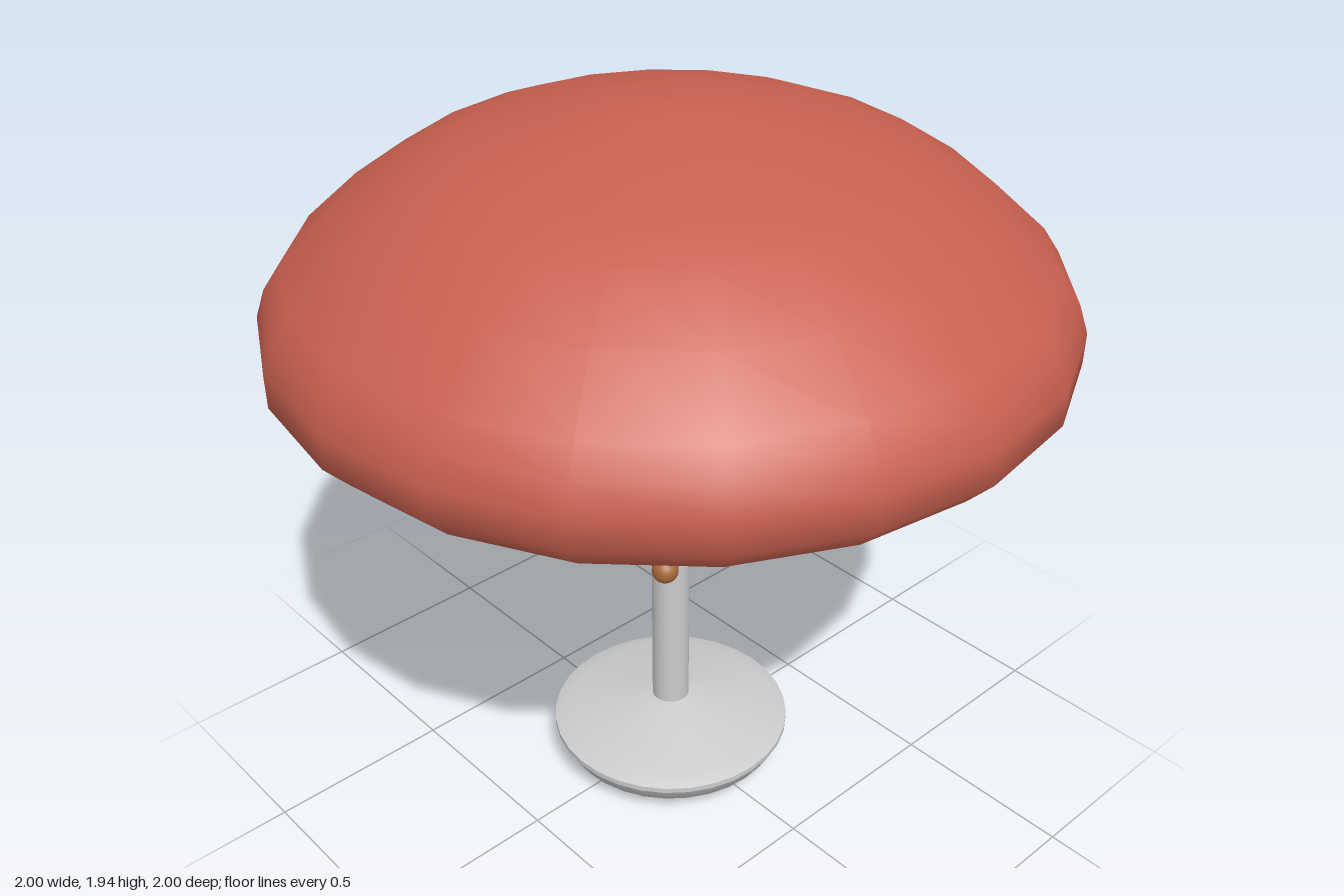
import * as THREE from 'three';

const SIDES = 20;
const metal = new THREE.MeshStandardMaterial({ color: 0xcccccc });
const red = new THREE.MeshStandardMaterial({ color: 0xc8604f });
const wood = new THREE.MeshStandardMaterial({ color: 0xa8683a });

function addMesh(parent, name, geometry, material, x = 0, y = 0, z = 0) {
  const mesh = new THREE.Mesh(geometry, material);
  mesh.name = name;
  mesh.position.set(x, y, z);
  parent.add(mesh);
  return mesh;
}

// Turned surface from [radius, height] pairs; rising profiles face outward
function turned(profile, sides = SIDES) {
  return new THREE.LatheGeometry(profile.map(([r, y]) => new THREE.Vector2(r, y)), sides);
}

export function createModel() {
  const lamp = new THREE.Group();
  lamp.name = 'tableLamp';

  // Base: rounded dish, narrow rim and sloping top, split to keep edges crisp
  const base = new THREE.Group();
  base.name = 'base';
  lamp.add(base);
  addMesh(base, 'baseBottom', turned([[0, 0], [0.22, 0]], 32), metal);
  addMesh(base, 'baseDish', turned([[0.22, 0], [0.27, 0.02], [0.31, 0.055], [0.335, 0.1]], 32), metal);
  addMesh(base, 'baseRim', turned([[0.335, 0.1], [0.335, 0.115]], 32), metal);
  addMesh(base, 'baseTop', turned([[0.335, 0.115], [0.29, 0.132], [0.05, 0.182], [0, 0.185]], 32), metal);

  // Stem runs up to the inside of the shade
  addMesh(lamp, 'stem', new THREE.CylinderGeometry(0.052, 0.052, 1.66, SIDES), metal, 0, 1.0, 0);

  // Shade: outer dome, flat rim and inner lining
  const shade = new THREE.Group();
  shade.name = 'shade';
  lamp.add(shade);
  addMesh(shade, 'shadeOuter', turned([
    [0.935, 1.29], [1, 1.36], [1, 1.44], [0.975, 1.51], [0.93, 1.575], [0.79, 1.7],
    [0.63, 1.8], [0.5, 1.85], [0.33, 1.895], [0.14, 1.935], [0, 1.94],
  ]), red);
  addMesh(shade, 'shadeRim', turned([[0.915, 1.29], [0.935, 1.29]]), red).material =
    Object.assign(red.clone(), { side: THREE.DoubleSide });
  addMesh(shade, 'shadeInner', turned([
    [0, 1.86], [0.5, 1.68], [0.82, 1.48], [0.925, 1.36], [0.915, 1.29],
  ]), red);

  // Pull chain with a wooden ball at its end
  const chain = new THREE.Group();
  chain.name = 'pullChain';
  chain.position.set(-0.22, 0, 0.22);
  lamp.add(chain);
  const bead = new THREE.SphereGeometry(0.013, 10, 8);
  for (let y = 0.875; y < 1.74; y += 0.0245) addMesh(chain, 'chainBead', bead, metal, 0, y, 0);
  addMesh(chain, 'chainCord', new THREE.CylinderGeometry(0.004, 0.004, 0.88, 6), metal, 0, 1.3, 0);
  addMesh(chain, 'pullBall', new THREE.SphereGeometry(0.034, 20, 14), wood, 0, 0.835, 0);

  return lamp;
}
